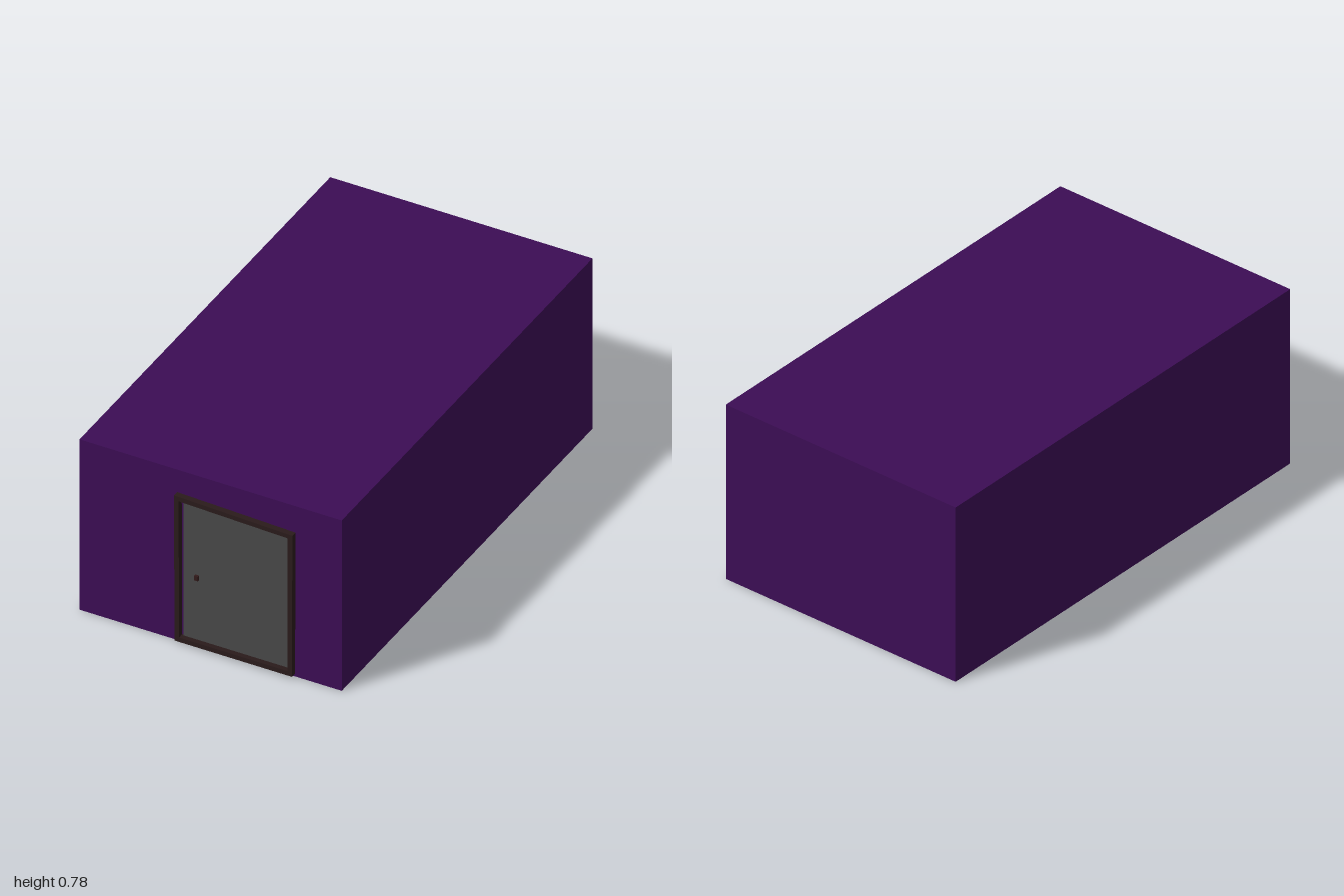
import * as THREE from 'three';

const WALL_FRONT = 0.975;

function material(color) {
  return new THREE.MeshStandardMaterial({ color, flatShading: true });
}

// Flat outline pushed forward from the front wall
function slab(name, outline, hole, z, depth, color) {
  const toPoints = (list) => list.map(([x, y]) => new THREE.Vector2(x, y));
  const shape = new THREE.Shape(toPoints(outline));
  if (hole) shape.holes.push(new THREE.Path(toPoints(hole)));
  const geometry = new THREE.ExtrudeGeometry(shape, { depth, bevelEnabled: false });
  const mesh = new THREE.Mesh(geometry, material(color));
  mesh.name = name;
  mesh.position.z = z;
  return mesh;
}

export function createModel() {
  const model = new THREE.Group();
  model.name = 'building';

  // Plain closed building block
  const walls = new THREE.Mesh(new THREE.BoxGeometry(1.124, 0.78, 1.975), material(0x3c0d55));
  walls.name = 'walls';
  walls.position.set(0, 0.39, -0.0125);
  model.add(walls);

  // Door frame with a slightly sloping top
  model.add(slab(
    'doorFrame',
    [[-0.141, 0.013], [0.362, 0.013], [0.364, 0.659], [-0.144, 0.677]],
    [[-0.122, 0.033], [-0.124, 0.656], [0.344, 0.641], [0.342, 0.033]],
    WALL_FRONT, 0.025, 0x2a1b1b,
  ));

  // Door leaf, leaving a thin strip of wall at each side
  model.add(slab(
    'door',
    [[-0.115, 0.033], [0.336, 0.033], [0.336, 0.641], [-0.115, 0.656]],
    null, WALL_FRONT, 0.004, 0x484848,
  ));

  // Small square handle
  const handle = new THREE.Mesh(new THREE.BoxGeometry(0.016, 0.021, 0.012), material(0x321a1a));
  handle.name = 'doorHandle';
  handle.position.set(-0.056, 0.318, WALL_FRONT + 0.008);
  model.add(handle);

  return model;
}
